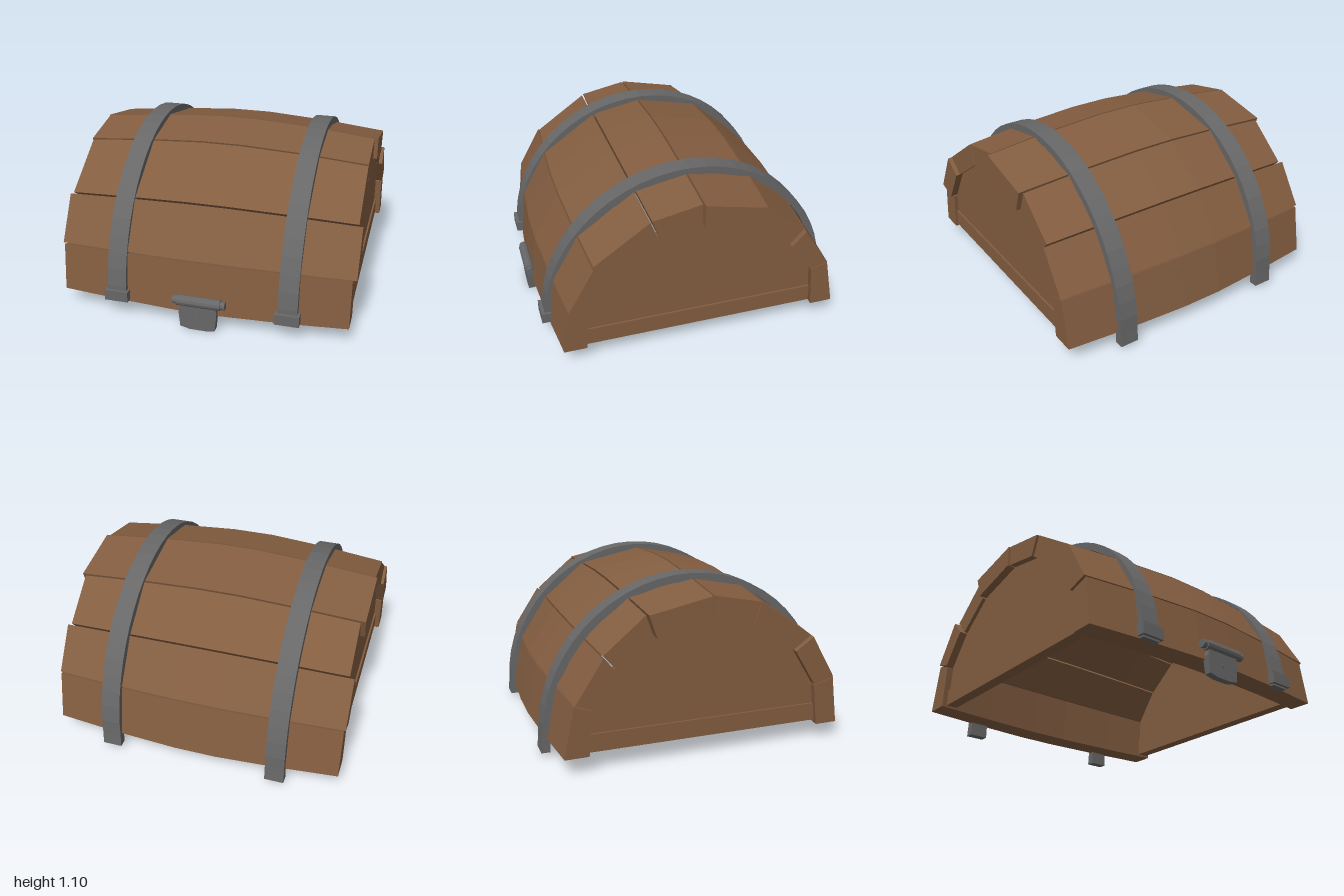
import * as THREE from 'three';

const wood = new THREE.MeshStandardMaterial({ color: 0x835d40, flatShading: true });
wood.name = 'brown wood';
const iron = new THREE.MeshStandardMaterial({ color: 0x676767, flatShading: true });
iron.name = 'grey iron';

// Centre of the barrel curve in the z, y plane
const CZ = -0.02, CY = 0.11;

// Plank seams at the chest ends as [z, y], front to back
const OUTER = [[0.885, 0.11], [0.845, 0.425], [0.68, 0.715], [0.32, 0.965], [0, 1.03],
  [-0.41, 0.945], [-0.68, 0.72], [-0.86, 0.445], [-0.925, 0.12]];
const INNER = [[0.74, 0.11], [0.71, 0.385], [0.56, 0.63], [0.27, 0.83], [0, 0.885],
  [-0.36, 0.8], [-0.59, 0.62], [-0.75, 0.41], [-0.775, 0.12]];
// Uneven plank ends, [left-hand x, right-hand x]
const ENDS = [[-0.95, 0.93], [-0.96, 0.955], [-0.94, 0.93], [-0.95, 0.93],
  [-0.96, 0.955], [-0.93, 0.93], [-0.96, 0.955], [-0.95, 0.95]];

function mesh(name, geometry, material) {
  const m = new THREE.Mesh(geometry, material);
  m.name = name;
  return m;
}

// Closed solid from four-cornered rings running along +x
function loft(rings) {
  const pos = [];
  const tri = (a, b, c) => pos.push(...a, ...b, ...c);
  for (let i = 0; i < rings.length - 1; i++) {
    for (let j = 0; j < 4; j++) {
      const k = (j + 1) % 4;
      const a = rings[i][j], b = rings[i][k], c = rings[i + 1][k], d = rings[i + 1][j];
      tri(a, d, c);
      tri(a, c, b);
    }
  }
  const s = rings[0], e = rings[rings.length - 1];
  tri(s[0], s[1], s[2]);
  tri(s[0], s[2], s[3]);
  tri(e[0], e[2], e[1]);
  tri(e[0], e[3], e[2]);
  const g = new THREE.BufferGeometry();
  g.setAttribute('position', new THREE.Float32BufferAttribute(pos, 3));
  g.computeVertexNormals();
  return g;
}

// Extrude a [z, y] outline along x, centred on the given x
function slab(points, width, x) {
  const shape = new THREE.Shape(points.map(([z, y]) => new THREE.Vector2(-z, y)));
  const g = new THREE.ExtrudeGeometry(shape, { depth: width, bevelEnabled: false });
  g.rotateY(Math.PI / 2);
  g.translate(x - width / 2, 0, 0);
  return g;
}

// Bowed plank, narrowed slightly so a seam shows on each side
function plankGeometry(i) {
  const mix = (p, q, t) => [p[0] + (q[0] - p[0]) * t, p[1] + (q[1] - p[1]) * t];
  const g0 = i === 0 ? 0 : 0.015, g1 = i === 7 ? 1 : 0.985;
  const section = [
    mix(OUTER[i], OUTER[i + 1], g0), mix(OUTER[i], OUTER[i + 1], g1),
    mix(INNER[i], INNER[i + 1], g1), mix(INNER[i], INNER[i + 1], g0)];
  const stations = [[ENDS[i][0], 0], [-0.55, 0.6], [-0.16, 1], [0.12, 1], [0.55, 0.6], [ENDS[i][1], 0]];
  return loft(stations.map(([x, bulge]) => {
    const s = 1 + 0.073 * bulge;
    return section.map(([z, y]) => [x, CY + (y - CY) * s, CZ + (z - CZ) * s]);
  }));
}

// Arched strap that hangs lower at the back
function bandGeometry(x) {
  const arc = (rz, ry) => {
    const pts = [];
    for (let i = 0; i <= 28; i++) {
      const a = Math.PI * i / 28;
      pts.push([CZ + rz * Math.cos(a), CY + ry * Math.sin(a)]);
    }
    return pts;
  };
  const outer = arc(0.97, 0.99), inner = arc(0.92, 0.94).reverse();
  return slab([...outer, [-0.998, 0.03], [-0.94, 0.03], ...inner], 0.125, x);
}

export function createModel() {
  const model = new THREE.Group();
  model.name = 'chestLid';

  // Curved plank shell
  const planks = new THREE.Group();
  planks.name = 'planks';
  for (let i = 0; i < 8; i++) planks.add(mesh('plank' + (i + 1), plankGeometry(i), wood));
  model.add(planks);

  // End boards with a bottom rail
  const panel = INNER.map(([z, y]) => [CZ + (z - CZ) * 1.01, 0.13 + (y - 0.11) * 0.99]);
  for (const side of [-1, 1]) {
    const name = side > 0 ? 'left' : 'right';
    model.add(mesh(name + 'EndPanel', slab(panel, 0.05, side * 0.88), wood));
    const rail = new THREE.BoxGeometry(0.075, 0.115, 1.51);
    rail.translate(side * 0.88, 0.188, -0.015);
    model.add(mesh(name + 'BottomRail', rail, wood));

    // Iron strap and its front clasp
    model.add(mesh(name + 'Band', bandGeometry(side * 0.557), iron));
    const clasp = new THREE.BoxGeometry(0.155, 0.07, 0.065);
    clasp.translate(side * 0.557, 0.157, 0.936);
    model.add(mesh(name + 'BandClasp', clasp, iron));
  }

  // Front latch: hanging plate, hinge barrel and rivet
  const latch = new THREE.Group();
  latch.name = 'latch';
  const plate = new THREE.Shape([[-0.115, 0.2], [-0.132, 0.13], [-0.122, 0.018], [-0.06, 0.004],
    [0.05, 0.003], [0.105, 0.014], [0.117, 0.13], [0.11, 0.2]].map(p => new THREE.Vector2(...p)));
  const plateGeo = new THREE.ExtrudeGeometry(plate, { depth: 0.045, bevelEnabled: false });
  plateGeo.translate(0, 0, 0.936);
  latch.add(mesh('latchPlate', plateGeo, iron));
  for (const [name, radius, length] of [['hingeBarrel', 0.034, 0.28], ['hingePin', 0.026, 0.34]]) {
    const g = new THREE.CylinderGeometry(radius, radius, length, 12);
    g.rotateZ(Math.PI / 2);
    g.translate(0, 0.2, 0.966);
    latch.add(mesh(name, g, iron));
  }
  const rivet = new THREE.CylinderGeometry(0.013, 0.013, 0.008, 8);
  rivet.rotateX(Math.PI / 2);
  rivet.translate(-0.01, 0.09, 0.983);
  latch.add(mesh('latchRivet', rivet, iron));
  model.add(latch);

  return model;
}
